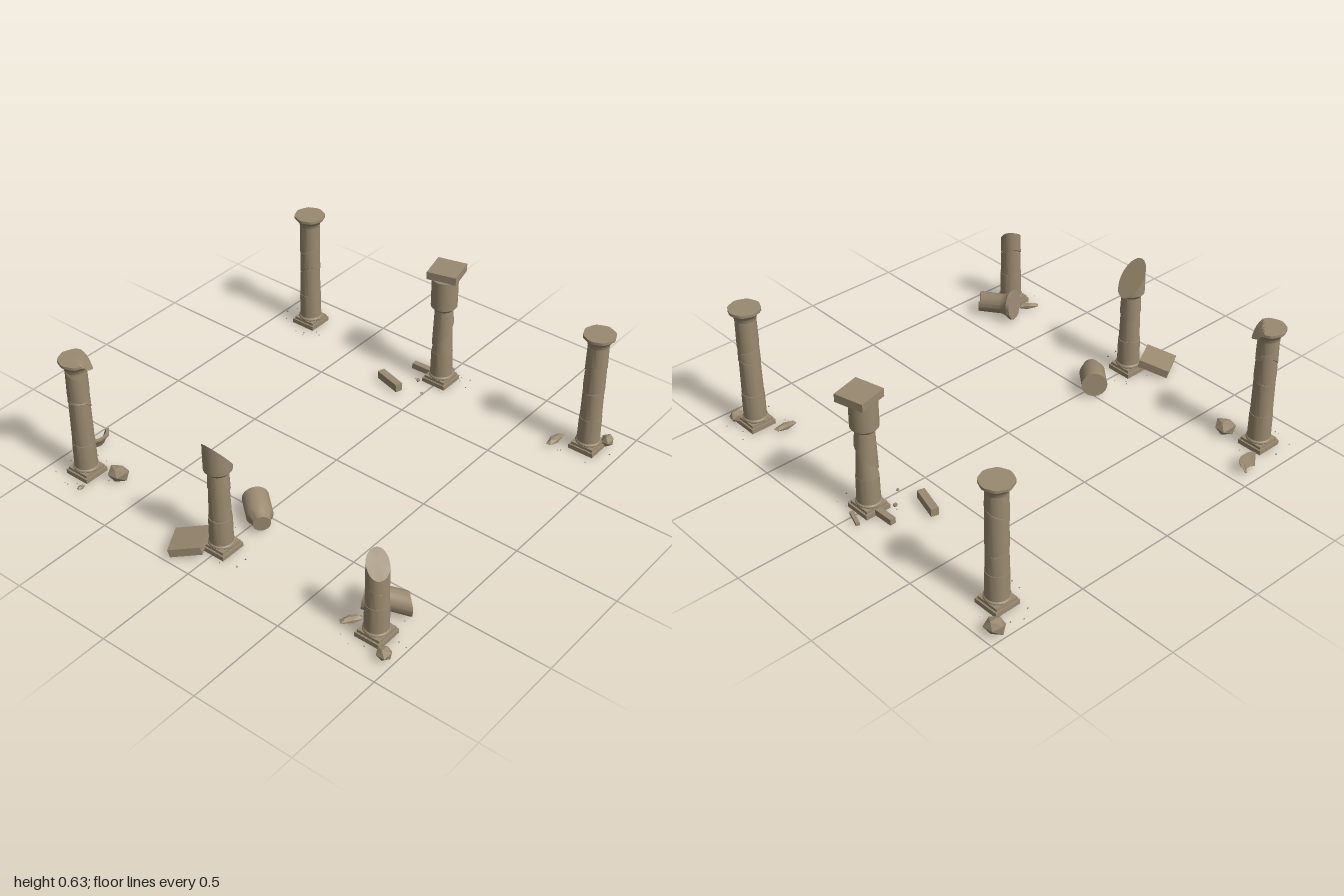
import * as THREE from 'three';
import { toCreasedNormals } from 'three/addons/utils/BufferGeometryUtils.js';

const stone = new THREE.MeshStandardMaterial({ color: 0x9a8a70 });
stone.name = 'weathered stone';

let seed = 7;
const rand = () => (seed = (seed * 16807) % 2147483647) / 2147483647;

function add(parent, name, geometry, x = 0, y = 0, z = 0) {
  const mesh = new THREE.Mesh(geometry, stone);
  mesh.name = name;
  mesh.position.set(x, y, z);
  parent.add(mesh);
  return mesh;
}

// Turned stone from [radius, height] rows, trimmed by a lower and an upper break surface
function turned(rows, low, high, arc = Math.PI * 2) {
  const geo = new THREE.LatheGeometry(rows.map(([r, y]) => new THREE.Vector2(r, y)), arc < 6 ? 10 : 32, 0.4, arc);
  const p = geo.attributes.position;
  for (let i = 0; i < p.count; i++) {
    let x = p.getX(i), y = p.getY(i), z = p.getZ(i);
    const r = Math.hypot(x, z);
    if (r > 0.068) { // lobed rim of the capital
      const k = 1 + 0.025 * Math.cos(8 * Math.atan2(z, x));
      x *= k; z *= k;
    }
    if (low) y = Math.max(y, low(x, z));
    if (high) y = Math.min(y, high(x, z));
    p.setXYZ(i, x, y, z);
  }
  return toCreasedNormals(geo, 0.6);
}
const drum = (r0, r1, y0, y1, low, high) => turned([[0, y0], [r0, y0], [r1, y1], [0, y1]], low, high);

// Uneven sloping break through a shaft
const crack = (h, a, b, wave = 0.1) => (x, z) => h + a * x + b * z + wave * Math.hypot(x, z) * Math.sin(3 * Math.atan2(z, x) + h * 40);
const above = (f) => (x, z) => f(x, z) + 0.004;

// Square plinth, hollow underneath, with a step and a rounded ring
function base(g) {
  const square = (s) => [[-s, -s], [s, -s], [s, s], [-s, s]].map(([x, y]) => new THREE.Vector2(x, y));
  const frame = new THREE.Shape(square(0.065));
  frame.holes.push(new THREE.Path(square(0.048)));
  const geo = new THREE.ExtrudeGeometry(frame, { depth: 0.022, bevelEnabled: false }).rotateX(-Math.PI / 2);
  add(g, 'plinth', geo);
  add(g, 'plinthBed', new THREE.BoxGeometry(0.12, 0.012, 0.12), 0, 0.017, 0);
  add(g, 'plinthStep', new THREE.BoxGeometry(0.114, 0.014, 0.114), 0, 0.029, 0);
  add(g, 'baseRing', turned([[0, 0.034], [0.055, 0.034], [0.06, 0.04], [0.059, 0.046], [0.053, 0.052], [0, 0.052]]));
}

// Shaft split into drums by cracks around a slimmer core
function shaft(g, r0, r1, y0, y1, cracks, top) {
  const rad = (y) => r0 + (r1 - r0) * (y - y0) / (y1 - y0);
  add(g, 'shaftCore', drum(r0 - 0.006, r1 - 0.006, y0, y1, null, top && ((x, z) => top(x, z) - 0.004)));
  for (let i = 0; i <= cracks.length; i++) {
    const low = i ? above(cracks[i - 1]) : null;
    const high = i < cracks.length ? cracks[i] : top;
    add(g, 'shaftDrum', drum(rad(y0), rad(y1), y0, y1, low, high));
  }
}

const capitalRows = [[0, 0.575], [0.05, 0.575], [0.052, 0.587], [0.058, 0.6], [0.068, 0.61], [0.074, 0.617],
  [0.074, 0.63], [0.055, 0.63], [0.035, 0.63], [0.018, 0.63], [0, 0.63]];

function column(root, name, x, z) {
  const g = new THREE.Group();
  g.name = name;
  g.position.set(x, 0, z);
  root.add(g);
  base(g);
  return g;
}

function fullColumn(root, name, x, z, cracks, bite) {
  const g = column(root, name, x, z);
  add(g, 'footDrum', drum(0.054, 0.053, 0.05, 0.18));
  shaft(g, 0.051, 0.049, 0.18, 0.578, cracks);
  add(g, 'capital', turned(capitalRows, null, bite));
}

// Turned piece lying between two points
function lay(root, name, geo, from, to) {
  const a = new THREE.Vector3(...from), d = new THREE.Vector3(...to).sub(a).normalize();
  const mesh = add(root, name, geo, ...from);
  mesh.quaternion.setFromUnitVectors(new THREE.Vector3(0, 1, 0), d);
}

// Irregular faceted stone resting on the ground
function rock(root, name, x, z, sx, sy, sz, turn = 0) {
  const geo = new THREE.IcosahedronGeometry(1, 0);
  const p = geo.attributes.position, moved = new Map();
  for (let i = 0; i < p.count; i++) {
    const v = new THREE.Vector3().fromBufferAttribute(p, i);
    const key = v.toArray().map((n) => Math.round(n * 100)).join();
    if (!moved.has(key)) moved.set(key, 0.85 + 0.3 * rand());
    v.multiplyScalar(moved.get(key));
    p.setXYZ(i, v.x * sx, v.y * sy, v.z * sz);
  }
  geo.computeVertexNormals();
  add(root, name, geo, x, sy * 0.95 + 0.003, z).rotation.y = turn;
}

export function createModel() {
  const root = new THREE.Group();
  root.name = 'ruinedColonnade';
  const L = -0.785, R = 0.815;

  // Standing columns
  fullColumn(root, 'frontRightColumn', R, 0.845, [crack(0.34, 0.3, -0.2), crack(0.44, -0.5, 0.4)]);
  fullColumn(root, 'backRightColumn', R, -0.83, [crack(0.31, -0.4, 0.5), crack(0.46, 0.7, 0.2)]);
  fullColumn(root, 'backLeftColumn', L, -0.83, [crack(0.38, -0.6, 0.3), crack(0.45, 0.6, -0.4), crack(0.53, -0.8, -0.3)],
    (x, z) => 0.63 - Math.max(0, 1.3 * (0.7 * x + 0.7 * z - 0.03)));

  // Broken stump, front left
  const stump = column(root, 'frontLeftStump', L, 0.845);
  add(stump, 'footDrum', drum(0.054, 0.053, 0.05, 0.18));
  shaft(stump, 0.051, 0.049, 0.18, 0.5, [crack(0.29, 0.4, -0.5)], crack(0.38, 0.6, -0.8, 0.04));

  // Middle columns with a wider upper drum, one sheared and one topped by a loose block
  const sheared = column(root, 'middleLeftColumn', L, 0);
  const upper = [[0, 0.42], [0.046, 0.42], [0.063, 0.44], [0.063, 0.62], [0, 0.62]];
  add(sheared, 'footDrum', drum(0.054, 0.053, 0.05, 0.18));
  shaft(sheared, 0.05, 0.046, 0.18, 0.43, [crack(0.33, -0.5, 0.3)]);
  add(sheared, 'shearedDrum', turned(upper, null, (x) => 0.51 - 1.3 * x));

  const topped = column(root, 'middleRightColumn', R, 0);
  add(topped, 'footDrum', drum(0.054, 0.052, 0.05, 0.18));
  shaft(topped, 0.051, 0.043, 0.18, 0.43, [crack(0.28, 0.9, 0.8)]);
  add(topped, 'upperDrum', turned([[0, 0.42], [0.045, 0.42], [0.064, 0.44], [0.064, 0.592], [0, 0.592]]));
  add(topped, 'topBlock', new THREE.BoxGeometry(0.147, 0.04, 0.147), 0.025, 0.61, -0.01).rotation.y = 0.25;

  // Fallen capital with a stub of shaft
  const fallen = turned([[0, 0], ...[[0.051, 0], [0.05, 0.15], [0.054, 0.165], [0.064, 0.185], [0.074, 0.197], [0.074, 0.213]], [0, 0.213]],
    (x, z) => 0.02 + 0.5 * x * (z > 0 ? 1 : 0.6));
  lay(root, 'fallenCapital', fallen, [-0.597, 0.056, 0.9], [-0.685, 0.08, 0.705]);

  // Fallen upper drum, tapered towards its broken neck
  lay(root, 'fallenDrum', turned([[0, 0], [0.04, 0], [0.046, 0.03], [0.061, 0.055], [0.061, 0.175], [0, 0.175]]),
    [-0.607, 0.055, 0.075], [-0.5, 0.065, -0.055]);

  // Fallen slab leaning on the plinth
  const slab = add(root, 'fallenSlab', new THREE.BoxGeometry(0.15, 0.04, 0.15), -0.883, 0.047, -0.1);
  slab.rotation.set(-0.25, 0.51, 0, 'YXZ');

  // Broken beams by the middle right column
  [[0.626, -0.17, 0.037, 0.04, 0.15, -0.28], [0.817, -0.115, 0.03, 0.03, 0.1, 0.03], [0.918, -0.03, 0.018, 0.015, 0.09, -0.35]]
    .forEach(([x, z, w, h, d, turn]) => {
      add(root, 'brokenBeam', new THREE.BoxGeometry(w, h, d), x, h / 2 + 0.005, z).rotation.y = turn;
    });

  // Curved capital fragment
  const shard = turned([[0.04, 0], [0.05, 0], [0.06, 0.025], [0.075, 0.045], [0.075, 0.055], [0.06, 0.055], [0.04, 0]], null, null, 1.9);
  const ends = new THREE.MeshStandardMaterial({ color: 0x9a8a70, side: THREE.DoubleSide });
  ends.name = 'open stone';
  const fragment = add(root, 'capitalFragment', shard, -0.61, 0.005, -0.965);
  fragment.material = ends;
  fragment.rotation.y = -1.2;

  // Rocks and slivers
  rock(root, 'rock', -0.733, -0.675, 0.05, 0.037, 0.052);
  rock(root, 'rock', 0.935, -0.952, 0.049, 0.037, 0.05);
  rock(root, 'rock', -0.875, 0.955, 0.032, 0.03, 0.036);
  rock(root, 'rock', 0.878, 0.915, 0.034, 0.03, 0.032);
  rock(root, 'sliver', -0.795, 0.727, 0.056, 0.018, 0.022, -0.6);
  rock(root, 'sliver', 0.742, 0.71, 0.062, 0.016, 0.022, -0.05);
  rock(root, 'sliver', -0.892, -0.758, 0.024, 0.01, 0.013);
  rock(root, 'sliver', 0.73, -0.075, 0.012, 0.01, 0.01);
  rock(root, 'sliver', 0.655, 0.002, 0.009, 0.007, 0.007);

  // Scattered chips around every column
  for (const [cx, cz] of [[L, 0.845], [L, 0], [L, -0.83], [R, 0.845], [R, 0], [R, -0.83]]) {
    for (let i = 0; i < 10; i++) {
      const a = rand() * Math.PI * 2, d = 0.09 + rand() * 0.06;
      add(root, 'chip', new THREE.TetrahedronGeometry(0.003 + rand() * 0.003), cx + d * Math.cos(a), 0.005, cz + d * Math.sin(a)).rotation.y = a;
    }
  }
  return root;
}
